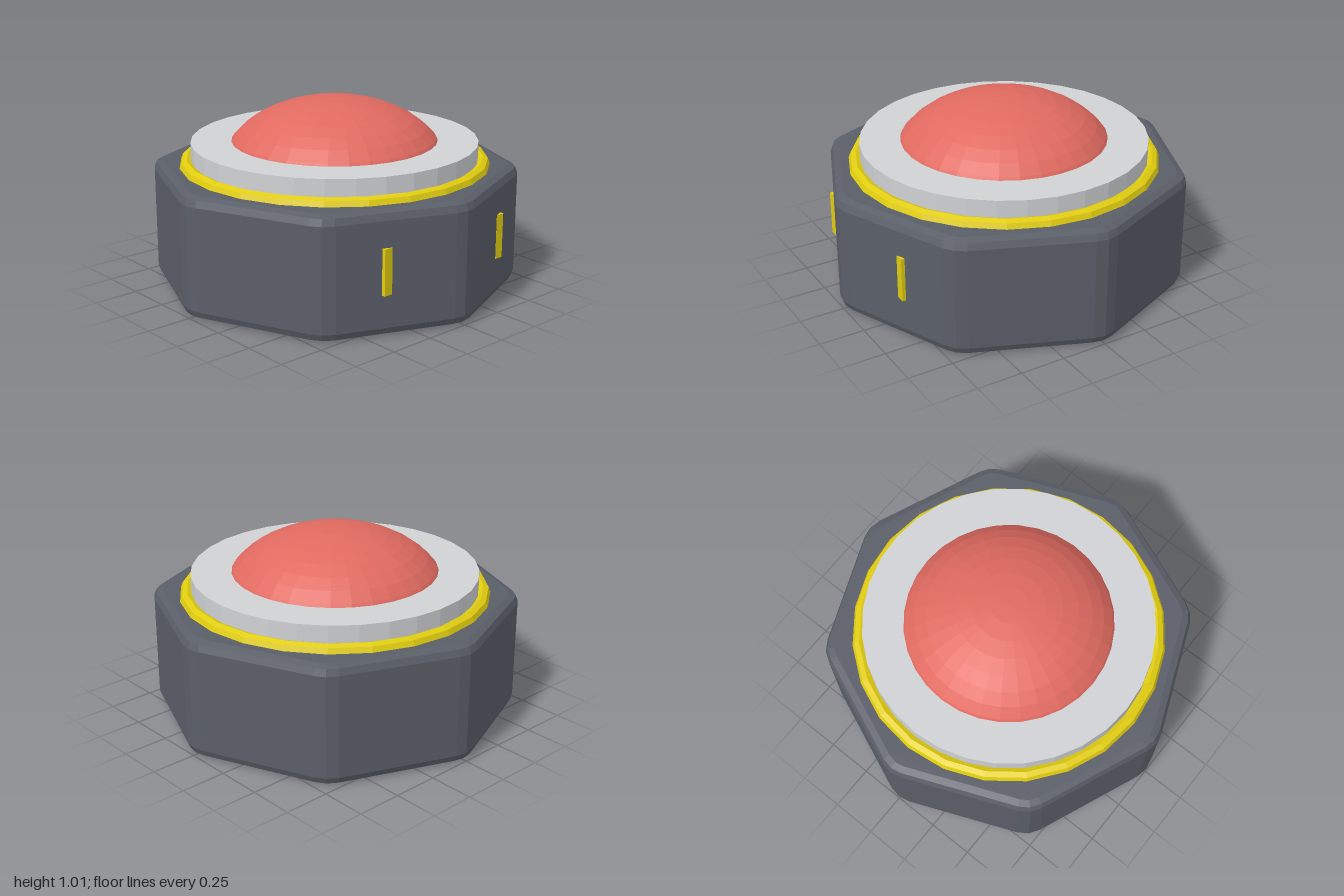
import * as THREE from 'three';

function material(name, color) {
  const m = new THREE.MeshStandardMaterial({ color });
  m.name = name;
  m.flatShading = true;
  return m;
}

export function createModel() {
  const group = new THREE.Group();
  group.name = 'pushButton';
  const slate = material('slate grey', 0x5a5e68);
  const yellow = material('yellow', 0xe0cc10);
  const silver = material('light grey', 0xcfd1d4);
  const red = material('red', 0xe06a60);

  const add = (name, geometry, mat, x = 0, y = 0, z = 0) => {
    const mesh = new THREE.Mesh(geometry, mat);
    mesh.name = name;
    mesh.position.set(x, y, z);
    group.add(mesh);
    return mesh;
  };

  // Octagonal housing with rounded corners and bevelled rims
  const outline = [];
  for (let k = 0; k < 8; k++) {
    const c = (k * Math.PI) / 4;
    for (const d of [-1, 0, 1]) {
      const a = c + (d * Math.PI) / 8;
      outline.push(new THREE.Vector2(
        0.82 * Math.cos(c) + 0.13 * Math.cos(a),
        0.82 * Math.sin(c) + 0.13 * Math.sin(a)
      ));
    }
  }
  const housing = new THREE.ExtrudeGeometry(new THREE.Shape(outline), {
    depth: 0.56, bevelEnabled: true, bevelSize: 0.05, bevelThickness: 0.05, bevelSegments: 2,
  });
  housing.rotateX(-Math.PI / 2);
  add('housing', housing, slate, 0, 0.05, 0);

  // Yellow trim ring around the collar
  const ring = new THREE.TorusGeometry(0.81, 0.04, 8, 24);
  ring.rotateX(Math.PI / 2);
  add('trimRing', ring, yellow, 0, 0.66, 0);

  // Pale collar disc
  add('collar', new THREE.CylinderGeometry(0.785, 0.785, 0.145, 32), silver, 0, 0.7125, 0);

  // Domed button cap, a flattened upper hemisphere
  const dome = new THREE.SphereGeometry(1, 32, 10, 0, Math.PI * 2, 0, Math.PI / 2);
  dome.scale(0.622, 0.395, 0.622);
  add('buttonDome', dome, red, 0, 0.62, 0);

  // Two marker strips on the front faces
  for (const side of [-1, 1]) {
    const name = side > 0 ? 'leftMarker' : 'rightMarker';
    add(name, new THREE.BoxGeometry(0.05, 0.245, 0.02), yellow, side * 0.405, 0.348, 0.848);
  }

  return group;
}
